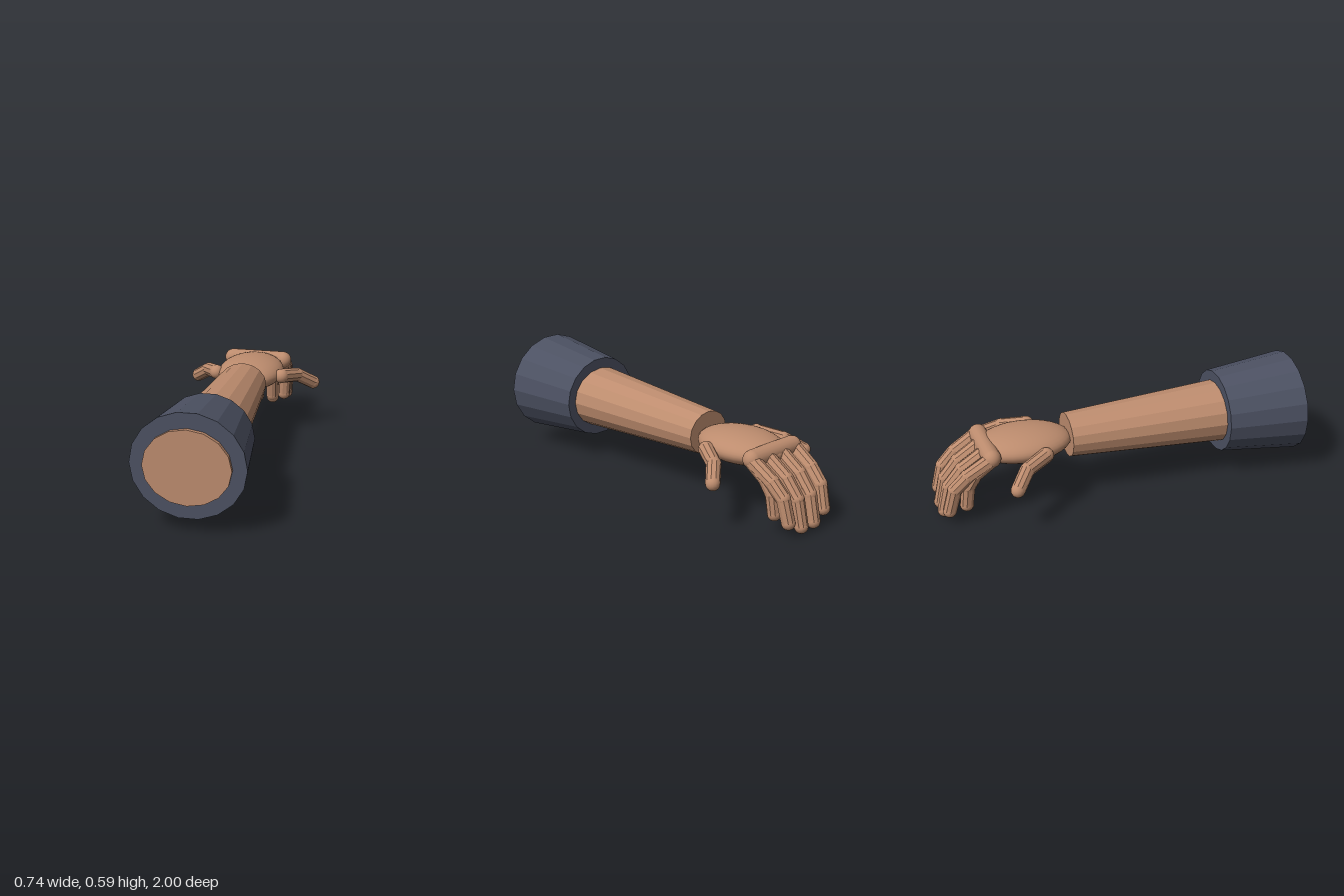
import * as THREE from 'three';

const skin = new THREE.MeshStandardMaterial({ color: 0xbd8c6e, flatShading: true });
const skinSmooth = new THREE.MeshStandardMaterial({ color: 0xbd8c6e });
const cloth = new THREE.MeshStandardMaterial({ color: 0x4c5162, flatShading: true });
const AXIS_Y = 0.333;

function add(parent, name, geometry, material) {
  const mesh = new THREE.Mesh(geometry, material);
  mesh.name = name;
  parent.add(mesh);
  return mesh;
}

// Tapered oval tube lying along z, from zFront (rFront) to zBack (rBack)
function taper(rFront, rBack, zFront, zBack, sides, squash, start = 0) {
  return new THREE.CylinderGeometry(rFront, rBack, zFront - zBack, sides, 1, false, start)
    .rotateX(Math.PI / 2)
    .scale(1, squash, 1)
    .translate(0, AXIS_Y, (zFront + zBack) / 2);
}

// Chain of faceted bones with a round joint at every point
function digit(name, points, radii) {
  const group = new THREE.Group();
  group.name = name;
  const up = new THREE.Vector3(0, 1, 0);
  const pts = points.map((p) => new THREE.Vector3(...p));
  pts.forEach((p, i) => {
    add(group, 'joint', new THREE.SphereGeometry(radii[i], 16, 10), skinSmooth).position.copy(p);
    if (i === 0) return;
    const dir = p.clone().sub(pts[i - 1]);
    const bone = add(group, 'bone',
      new THREE.CylinderGeometry(radii[i], radii[i - 1], dir.length(), 10, 1, true), skin);
    bone.position.copy(p).add(pts[i - 1]).multiplyScalar(0.5);
    bone.quaternion.setFromUnitVectors(up, dir.normalize());
  });
  return group;
}

// Finger: base x, tip x, then [y, z] of the two middle joints and the tip
const FINGERS = {
  indexFinger: [0.15, 0.13, [0.262, -0.852], [0.195, -0.92], [0.077, -0.95]],
  middleFinger: [0.05, 0.045, [0.256, -0.857], [0.17, -0.93], [0.036, -0.96]],
  ringFinger: [-0.05, -0.045, [0.258, -0.852], [0.177, -0.92], [0.05, -0.95]],
  littleFinger: [-0.15, -0.13, [0.27, -0.812], [0.2, -0.85], [0.097, -0.86]],
};

// Thumb and four fingers, side = 1 or -1
function digits(side) {
  const group = new THREE.Group();
  group.name = side > 0 ? 'leftDigits' : 'rightDigits';
  for (const [name, [x0, x1, ...joints]] of Object.entries(FINGERS)) {
    const path = [[0.34, -0.725], ...joints].map(([y, z], i) =>
      [side * THREE.MathUtils.lerp(x0, x1, i / 3), y, z]);
    group.add(digit(name, path, [0.041, 0.039, 0.037, 0.036]));
  }
  group.add(digit('thumb', [
    [side * 0.185, 0.335, -0.45],
    [side * 0.255, 0.31, -0.57],
    [side * 0.335, 0.249, -0.642],
  ], [0.04, 0.038, 0.037]));
  return group;
}

export function createModel() {
  const model = new THREE.Group();
  model.name = 'arm';

  // Forearm and sleeve cuff
  add(model, 'forearm', taper(0.214, 0.13, 1, -0.285, 16, 0.88), skin);
  add(model, 'cuff', taper(0.282, 0.232, 0.975, 0.552, 18, 0.94, Math.PI / 18), cloth);

  // Palm
  const palm = add(model, 'palm', new THREE.SphereGeometry(1, 32, 20), skinSmooth);
  palm.scale.set(0.18, 0.082, 0.255);
  palm.position.set(0, AXIS_Y, -0.52);

  // Knuckle bar
  const knuckles = add(model, 'knuckles', new THREE.CapsuleGeometry(0.048, 0.29, 6, 16), skinSmooth);
  knuckles.rotation.z = Math.PI / 2;
  knuckles.position.set(0, 0.345, -0.722);

  // Mirrored sets of fingers and thumbs
  for (const side of [1, -1]) model.add(digits(side));

  return model;
}
